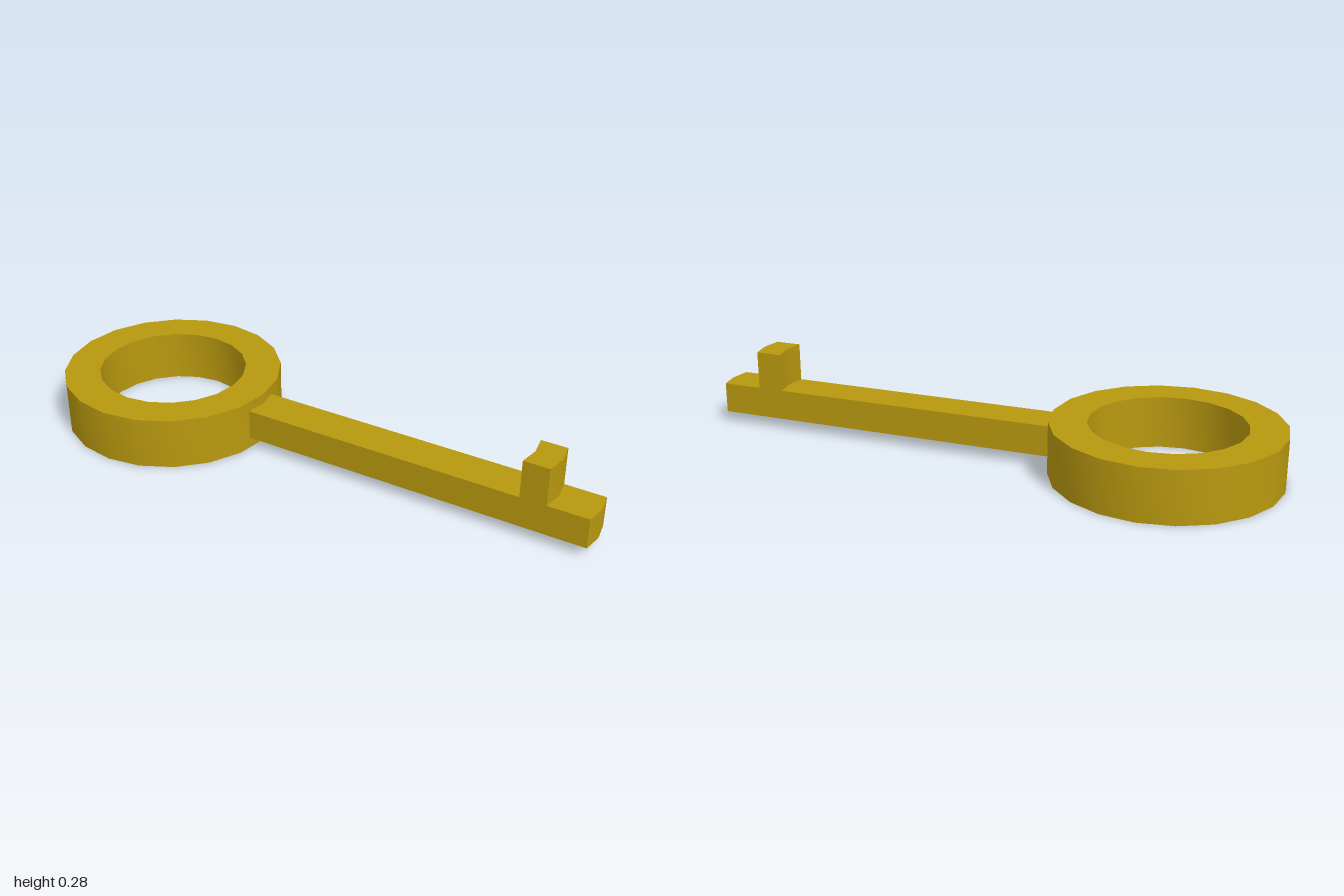
import * as THREE from 'three';
import { toCreasedNormals } from 'three/addons/utils/BufferGeometryUtils.js';

const SIDES = 20;
const RING_X = -0.615;

// Points of a regular polygon with a corner on +x
function polygon(radius) {
  return Array.from({ length: SIDES }, (_, i) => {
    const a = (i / SIDES) * Math.PI * 2;
    return new THREE.Vector2(RING_X + radius * Math.cos(a), radius * Math.sin(a));
  });
}

// Bar outline whose two ends are slightly pointed towards +x
function bar(x0, x1, halfWidth) {
  const sag = halfWidth * Math.tan(Math.PI / SIDES);
  return new THREE.Shape([
    new THREE.Vector2(x0 - sag, -halfWidth),
    new THREE.Vector2(x1 - sag, -halfWidth),
    new THREE.Vector2(x1, 0),
    new THREE.Vector2(x1 - sag, halfWidth),
    new THREE.Vector2(x0 - sag, halfWidth),
    new THREE.Vector2(x0, 0),
  ]);
}

export function createModel() {
  const group = new THREE.Group();
  group.name = 'key';
  const material = new THREE.MeshStandardMaterial({ color: 0xb8980f });

  // Raise a plan outline from y0 to y1
  function addPart(name, shape, y0, y1) {
    const geometry = new THREE.ExtrudeGeometry(shape, { depth: y1 - y0, bevelEnabled: false });
    geometry.rotateX(-Math.PI / 2);
    geometry.translate(0, y0, 0);
    const mesh = new THREE.Mesh(toCreasedNormals(geometry, 0.5), material);
    mesh.name = name;
    group.add(mesh);
  }

  // Ring handle
  const ring = new THREE.Shape(polygon(0.385));
  ring.holes.push(new THREE.Path(polygon(0.26)));
  addPart('ringHandle', ring, 0, 0.18);

  // Shaft, set slightly into the ring
  addPart('shaft', bar(-0.235, 1, 0.07), 0.038, 0.144);

  // Upright tooth near the tip
  addPart('tooth', bar(0.77, 0.86, 0.07), 0.14, 0.276);

  return group;
}
